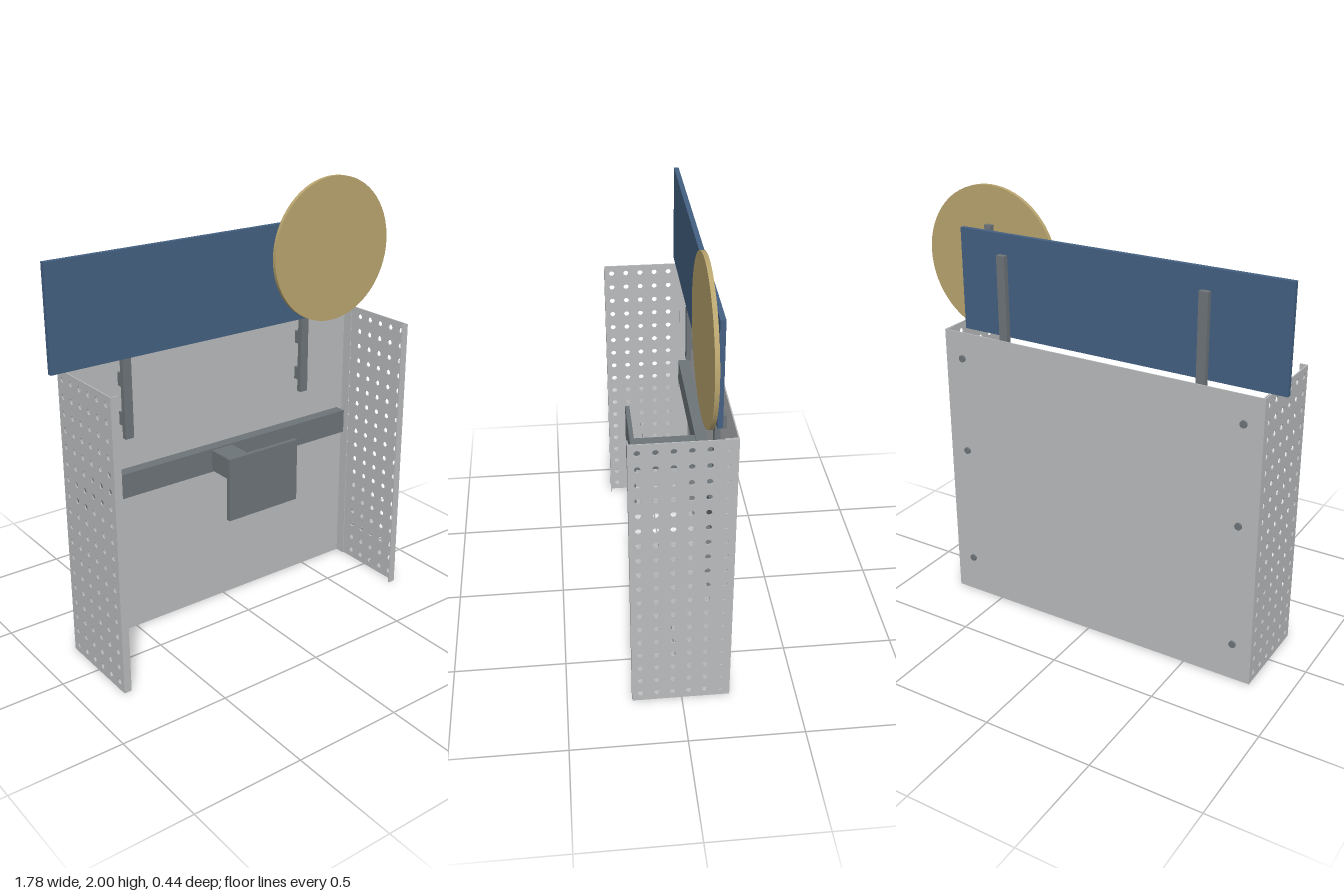
import * as THREE from 'three';

const mat = (name, color) => {
  const m = new THREE.MeshStandardMaterial({ color });
  m.name = name;
  return m;
};

export function createModel() {
  const root = new THREE.Group();
  root.name = 'signStand';
  const sheet = mat('sheet grey', 0xb9bbbc);
  const steel = mat('dark steel', 0x6d7478);
  const blue = mat('sign blue', 0x446082);
  const gold = mat('disc gold', 0xb9a56e);

  const add = (name, geo, material, parent = root) => {
    const mesh = new THREE.Mesh(geo, material);
    mesh.name = name;
    parent.add(mesh);
    return mesh;
  };
  // Box given by its limits on each axis
  const box = (name, [x0, x1], [y0, y1], [z0, z1], material, parent) => {
    const m = add(name, new THREE.BoxGeometry(x1 - x0, y1 - y0, z1 - z0), material, parent);
    m.position.set((x0 + x1) / 2, (y0 + y1) / 2, (z0 + z1) / 2);
    return m;
  };
  // Cylinder with its axis along z
  const disc = (name, x, y, [z0, z1], r, sides, material) => {
    const geo = new THREE.CylinderGeometry(r, r, z1 - z0, sides).rotateX(Math.PI / 2);
    add(name, geo, material).position.set(x, y, (z0 + z1) / 2);
  };

  const left = 0.752, right = -0.822, height = 1.345;
  const front = 0.217, back = -0.21, t = 0.005;

  // Back sheet
  box('backPanel', [right, left], [0, height], [back, back + t], sheet);

  // Perforated side sheet, drawn in (z, y) and extruded across x
  const outline = new THREE.Shape();
  outline.moveTo(back + t, 0).lineTo(front, 0).lineTo(front, height).lineTo(back + t, height).closePath();
  for (let row = 0; row < 18; row++) {
    for (let col = 0; col < 6; col++) {
      const hole = new THREE.Path();
      hole.absarc(0.18 - col * 0.07, 0.04 + row * 0.0744, 0.0125, 0, Math.PI * 2, true);
      outline.holes.push(hole);
    }
  }
  const sideGeo = new THREE.ExtrudeGeometry(outline, { depth: t, bevelEnabled: false, curveSegments: 14 });
  sideGeo.rotateY(-Math.PI / 2);

  for (const [edge, dir, label] of [[left, -1, 'left'], [right, 1, 'right']]) {
    const side = new THREE.Group();
    side.name = label + 'Side';
    root.add(side);
    add('perforatedSheet', sideGeo, sheet, side).position.x = dir < 0 ? edge : edge + t;
    // Span running inward from the outer face
    const span = (a, b) => [edge + dir * a, edge + dir * b].sort((p, q) => p - q);
    box('frontLip', span(t, 0.035), [0, height], [front - t, front], sheet, side);
    box('backFlange', span(0.008, 0.012), [0, height], [back + t, -0.156], sheet, side);
  }

  // Bolts on the back
  for (const x of [-0.735, 0.66])
    for (const y of [0.18, 0.76, 1.22]) disc('bolt', x, y, [-0.219, back], 0.016, 16, steel);

  // Cross bar with the arm and the plate in front
  box('crossBar', [-0.785, 0.708], [0.7, 0.815], [back + t, -0.15], steel);
  box('arm', [-0.096, 0.018], [0.708, 0.808], [-0.15, 0.143], steel);
  box('mountPlate', [-0.225, 0.15], [0.612, 0.905], [0.143, 0.163], steel);

  // Posts held to the back sheet by clips
  for (const x of [-0.523, 0.45]) {
    box('signPost', [x - 0.021, x + 0.021], [0.973, 1.72], [-0.18, -0.156], steel);
    for (const y of [1.06, 1.24])
      box('postClip', [x - 0.02, x + 0.02], [y - 0.03, y + 0.03], [back + t, -0.18], steel);
  }

  // Sign board
  box('signBoard', [-0.89, 0.675], [1.347, 1.811], [-0.156, -0.134], blue);

  // Round disc on its own short post
  box('discPost', [0.533, 0.567], [1.355, 1.83], [-0.128, -0.106], steel);
  for (const y of [1.4, 1.76])
    box('discSpacer', [0.535, 0.565], [y - 0.02, y + 0.02], [-0.134, -0.128], steel);
  disc('roundDisc', 0.551, 1.664, [-0.106, -0.088], 0.336, 64, gold);

  return root;
}
